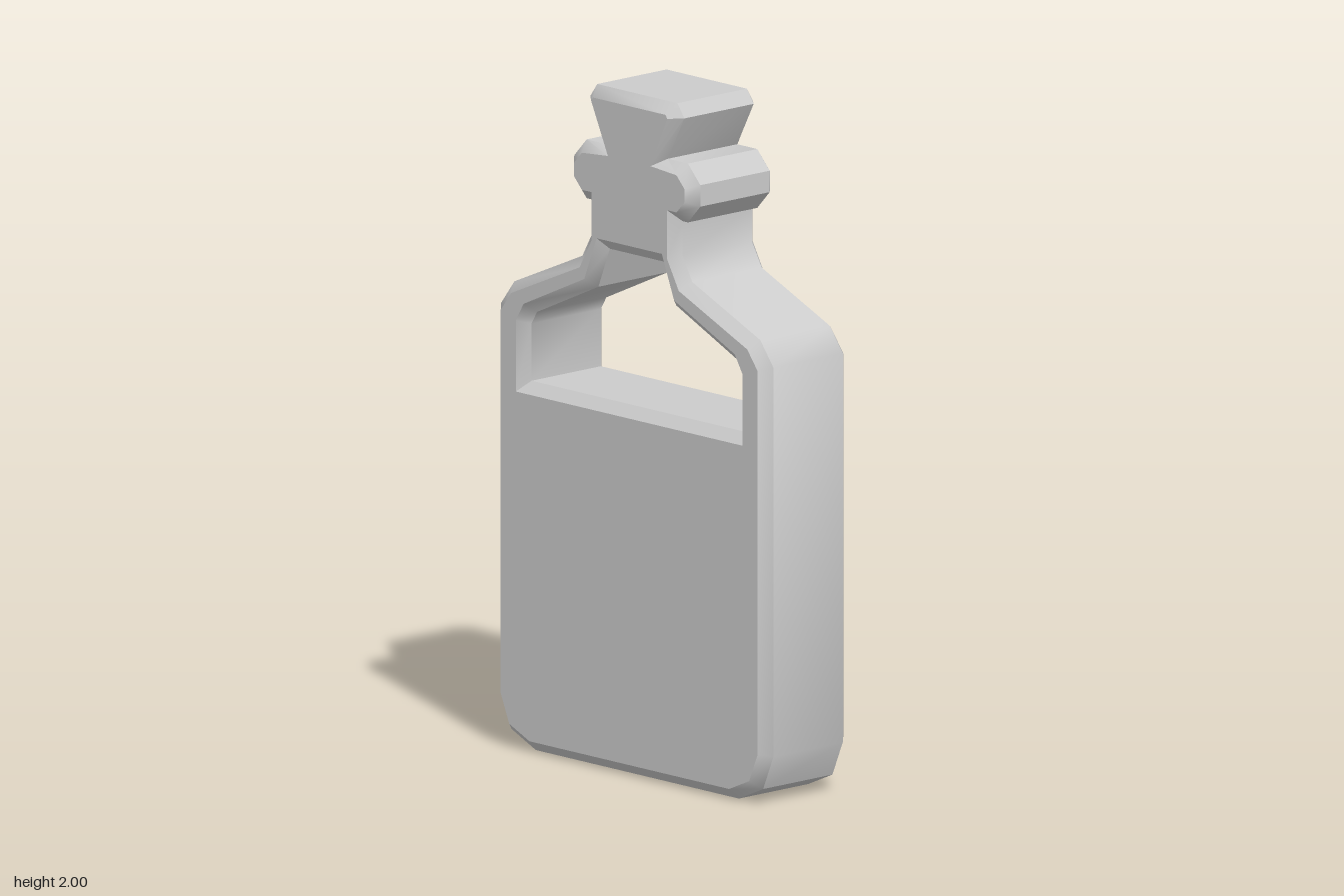
import * as THREE from 'three';
import { toCreasedNormals } from 'three/addons/utils/BufferGeometryUtils.js';

const BEVEL = 0.032;
const HALF_DEPTH = 0.168;

// Closed symmetric outline from its right half, listed bottom to top
function mirrored(half) {
  const right = half.map(([x, y]) => new THREE.Vector2(x, y));
  const left = half.map(([x, y]) => new THREE.Vector2(-x, y)).reverse();
  return [...right, ...left];
}

export function createModel() {
  const group = new THREE.Group();
  group.name = 'bottle';

  // Silhouette: body, shoulder, neck, lip and flared stopper
  const outline = new THREE.Shape(mirrored([
    [0.425, 0], [0.527, 0.045], [0.57, 0.147],
    [0.57, 1.29], [0.515, 1.362],
    [0.23, 1.485], [0.19, 1.555], [0.19, 1.657],
    [0.212, 1.657], [0.264, 1.712], [0.264, 1.775], [0.212, 1.83],
    [0.128, 1.83], [0.197, 1.96], [0.168, 2],
  ]));

  // Empty space above the liquid, open right through
  outline.holes.push(new THREE.Path(mirrored([
    [0.443, 1.082], [0.443, 1.25], [0.42, 1.288],
    [0.163, 1.405], [0.115, 1.525],
  ]).reverse()));

  const depth = 2 * (HALF_DEPTH - BEVEL);
  const geometry = new THREE.ExtrudeGeometry(outline, {
    depth,
    bevelEnabled: true,
    bevelSegments: 1,
    bevelThickness: BEVEL,
    bevelSize: BEVEL,
    bevelOffset: -BEVEL,
  });
  geometry.translate(0, 0, -depth / 2);

  const body = new THREE.Mesh(
    toCreasedNormals(geometry, 0.7),
    new THREE.MeshStandardMaterial({ color: 0xcccccc }),
  );
  body.name = 'bottleBody';
  group.add(body);
  return group;
}
